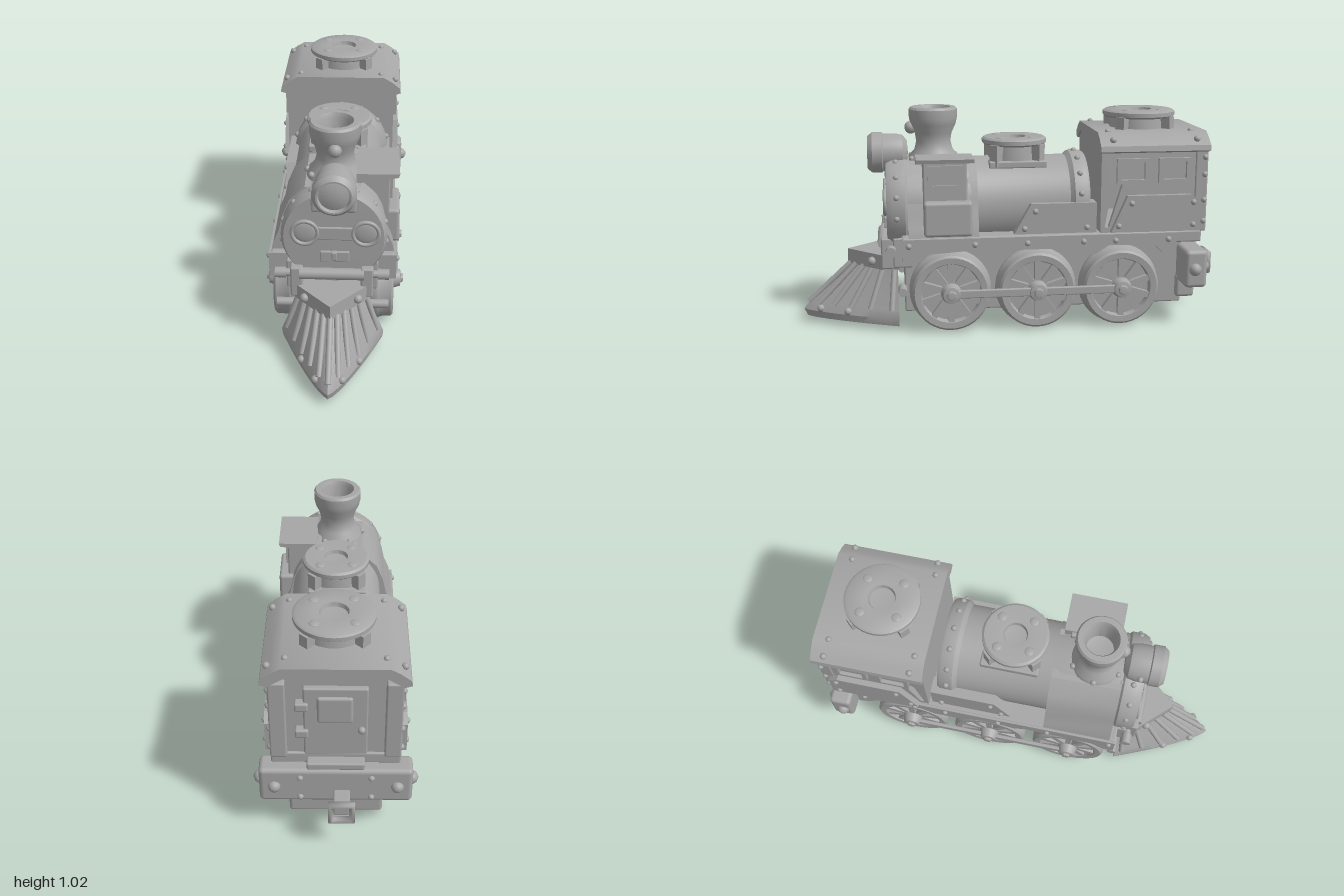
import * as THREE from 'three';
import { toCreasedNormals } from 'three/addons/utils/BufferGeometryUtils.js';
import { RoundedBoxGeometry } from 'three/addons/geometries/RoundedBoxGeometry.js';

const steel = new THREE.MeshStandardMaterial({ color: 0xa6a6a6, side: THREE.DoubleSide });
steel.name = 'steel grey';
const V2 = (p) => new THREE.Vector2(p[0], p[1]);

export function createModel() {
  const model = new THREE.Group();
  model.name = 'steamLocomotive';

  const add = (name, geo, x = 0, y = 0, z = 0, parent = model) => {
    const m = new THREE.Mesh(geo, steel);
    m.name = name;
    m.position.set(x, y, z);
    parent.add(m);
    return m;
  };
  // box given by its limits on each axis
  const box = (name, x0, x1, y0, y1, z0, z1, r = 0.008) =>
    add(name, new RoundedBoxGeometry(x1 - x0, y1 - y0, z1 - z0, 2, r), (x0 + x1) / 2, (y0 + y1) / 2, (z0 + z1) / 2);
  const lathe = (pts, seg = 40) => toCreasedNormals(new THREE.LatheGeometry(pts.map(V2), seg), 0.6);
  const rivet = (x, y, z, r = 0.014) => add('rivet', new THREE.SphereGeometry(r, 10, 8), x, y, z);
  // plate cut from a (z, y) outline, spanning x0..x1
  const sidePlate = (name, pts, x0, x1, holes = []) => {
    const s = new THREE.Shape(pts.map(V2));
    holes.forEach((h) => s.holes.push(new THREE.Path(h.map(V2))));
    const g = new THREE.ExtrudeGeometry(s, { depth: x1 - x0, bevelEnabled: false });
    return add(name, g.rotateY(-Math.PI / 2), x1, 0, 0);
  };
  // section with an (x, y) outline, spanning z0..z1
  const section = (name, pts, z0, z1) => add(name,
    toCreasedNormals(new THREE.ExtrudeGeometry(new THREE.Shape(pts.map(V2)), { depth: z1 - z0, bevelEnabled: false }), 0.6), 0, 0, z0);
  const rod = (name, a, b, r) => {
    const p = new THREE.Vector3(...a), q = new THREE.Vector3(...b), d = q.clone().sub(p);
    const m = add(name, new THREE.CylinderGeometry(r, r, d.length(), 16));
    m.position.copy(p).addScaledVector(d, 0.5);
    m.quaternion.setFromUnitVectors(new THREE.Vector3(0, 1, 0), d.normalize());
    return m;
  };
  const rect = (z0, z1, y0, y1) => [[z0, y0], [z1, y0], [z1, y1], [z0, y1]];

  // frame under the body
  box('underframe', -0.17, 0.17, 0.08, 0.42, -0.8, 0.52);
  box('deck', -0.27, 0.27, 0.4, 0.455, -0.86, 0.53);
  box('frontFrame', -0.2, 0.2, 0.3, 0.44, 0.48, 0.57);

  // boiler, with its rear band, and the flared smokebox
  const boiler = add('boiler', lathe([[0, -0.34], [0.222, -0.34], [0.23, -0.325], [0.23, -0.27], [0.212, -0.25],
    [0.211, 0.2], [0.218, 0.22], [0.218, 0.5], [0.228, 0.51], [0.228, 0.57], [0.215, 0.595], [0, 0.598]], 48), 0.008, 0.572, 0);
  boiler.rotation.x = Math.PI / 2;
  section('smokeboxSaddle', [[-0.27, 0.44], [0.27, 0.44], [0.26, 0.49], [0.235, 0.55], [0.22, 0.62], [0.187, 0.7], [0.12, 0.765],
    [-0.12, 0.765], [-0.187, 0.7], [-0.22, 0.62], [-0.235, 0.55], [-0.26, 0.49]], 0.18, 0.5);
  for (let i = 0; i < 9; i++) {
    const a = Math.PI * (i / 8 * 1.1 - 0.05), c = Math.cos(a), s = Math.sin(a);
    rivet(0.008 + 0.23 * c, 0.572 + 0.23 * s, -0.297);
    rivet(0.008 + 0.224 * c, 0.572 + 0.224 * s, 0.55);
  }

  // smokebox front: two round gauges, a joining band and a small latch
  for (const x of [-0.115, 0.145]) {
    add('gaugeRing', new THREE.TorusGeometry(0.055, 0.009, 10, 32), x, 0.6, 0.602);
    add('gaugeGlass', new THREE.SphereGeometry(0.05, 24, 12).scale(1, 1, 0.2), x, 0.6, 0.596);
  }
  box('gaugeBand', -0.06, 0.09, 0.567, 0.628, 0.585, 0.606, 0.005);
  box('latchPlate', -0.05, 0.075, 0.46, 0.51, 0.585, 0.608, 0.004);
  box('latch', 0, 0.022, 0.475, 0.512, 0.59, 0.62, 0.004);

  // headlight
  box('headlightBracket', -0.095, 0.112, 0.69, 0.775, 0.48, 0.6, 0.02);
  const lamp = add('headlight', lathe([[0, 0], [0.055, 0.004], [0.08, 0.025], [0.087, 0.06], [0.087, 0.115], [0.094, 0.12],
    [0.094, 0.165], [0.086, 0.175], [0.076, 0.187], [0.069, 0.187], [0.064, 0.17], [0.04, 0.178], [0, 0.182]]), 0.012, 0.81, 0.49);
  lamp.rotation.x = Math.PI / 2;
  rivet(0.008, 0.925, 0.475, 0.03);
  for (const y of [0.76, 0.86]) rivet(-0.085, y, 0.57);

  // chimney with an open mouth
  add('chimney', lathe([[0.125, 0.76], [0.118, 0.79], [0.09, 0.82], [0.08, 0.86], [0.086, 0.9], [0.105, 0.94], [0.112, 0.97],
    [0.112, 1.01], [0.104, 1.02], [0.08, 1.02], [0.07, 1.0], [0.062, 0.9], [0, 0.89]]), 0.005, 0, 0.37);
  for (let i = 0; i < 6; i++) rivet(0.005 + 0.12 * Math.cos(i * Math.PI / 3), 0.785, 0.37 + 0.12 * Math.sin(i * Math.PI / 3));

  // round hatches on the boiler and the cab roof
  const hatch = (name, y, z, r, neck, drop) => {
    const g = new THREE.Group();
    g.name = name;
    g.position.set(0.008, y, z);
    model.add(g);
    add('hatchDisc', lathe([[neck, -drop], [neck * 0.95, -0.04], [r * 0.95, -0.035], [r, -0.028], [r, -0.01], [r * 0.93, -0.002],
      [r * 0.5, 0], [r * 0.36, -0.002], [r * 0.33, -0.02], [0, -0.025]]), 0, 0, 0, g);
    for (let i = 0; i < 4; i++) {
      const a = i * Math.PI / 2 + 0.75, c = Math.cos(a), s = Math.sin(a);
      add('hatchBolt', new THREE.SphereGeometry(0.022, 12, 8).scale(1, 0.3, 1), c * r * 0.68, -0.002, s * r * 0.68, g);
      add('hatchBrace', new THREE.BoxGeometry(0.05, drop - 0.02, 0.045), c * r * 0.9, -0.03 - (drop - 0.02) / 2, s * r * 0.9, g).rotation.y = -a;
    }
  };
  box('hatchBase', -0.13, 0.135, 0.74, 0.775, -0.15, 0.12);
  hatch('boilerHatch', 0.878, -0.01, 0.152, 0.125, 0.12);
  hatch('roofHatch', 1.0, -0.61, 0.17, 0.14, 0.1);

  // cabinet with a window and awning, on the left side only
  box('cabinetLower', 0.12, 0.29, 0.46, 0.62, 0.21, 0.43, 0.015);
  box('cabinetUpper', 0.08, 0.245, 0.6, 0.8, 0.23, 0.43);
  sidePlate('cabinetWindowFrame', rect(0.25, 0.41, 0.67, 0.78), 0.24, 0.256, [rect(0.27, 0.39, 0.69, 0.765)]);
  section('awning', [[0.1, 0.765], [0.28, 0.795], [0.285, 0.812], [0.1, 0.81]], 0.2, 0.46);

  // cab walls, open just behind the front wall
  for (const s of [-1, 1]) {
    const span = (a, b) => (s > 0 ? [a, b] : [-b, -a]);
    sidePlate('cabSide', [[-0.38, 0.45], [-0.38, 0.85], [-0.86, 0.85], [-0.86, 0.45]], ...span(0.24, 0.265),
      [[[-0.4, 0.48], [-0.43, 0.66], [-0.44, 0.68], [-0.48, 0.68], [-0.42, 0.48]]]);
    sidePlate('cabLowerPanel', [[-0.425, 0.46], [-0.5, 0.63], [-0.8, 0.63], [-0.845, 0.6], [-0.845, 0.46]], ...span(0.26, 0.292));
    for (const z of [-0.525, -0.72]) {
      sidePlate('cabWindowFrame', rect(z - 0.075, z + 0.075, 0.685, 0.8), ...span(0.26, 0.282), [rect(z - 0.055, z + 0.055, 0.702, 0.782)]);
    }
    for (const [z, y] of [[-0.46, 0.49], [-0.52, 0.595], [-0.81, 0.595], [-0.81, 0.49]]) rivet(s * 0.29, y, z);
    for (const z of [-0.43, -0.82]) rivet(s * 0.272, 0.886, z, 0.015);
    for (const z of [-0.42, -0.81]) rivet(s * 0.2, 0.915, z);
    // panel along the boiler
    sidePlate('boilerPanel', [[0.02, 0.45], [-0.06, 0.595], [-0.365, 0.595], [-0.365, 0.45]], ...span(0.17, 0.25));
    rivet(s * 0.25, 0.56, -0.08); rivet(s * 0.25, 0.48, -0.03); rivet(s * 0.25, 0.48, -0.32);
    // running board skirt
    sidePlate('runningBoard', [[0.53, 0.33], [0.53, 0.45], [-0.74, 0.45], [-0.74, 0.33], [-0.68, 0.35], [-0.64, 0.39], [-0.42, 0.4],
      [-0.36, 0.36], [-0.2, 0.36], [-0.15, 0.39], [-0.02, 0.39], [0.04, 0.375], [0.1, 0.4], [0.42, 0.38], [0.48, 0.33]], ...span(0.2, 0.28));
    for (const z of [0.5, 0.2, -0.04, -0.3, -0.45, -0.7]) rivet(s * 0.28, 0.42, z);
    // rear posts
    box('cabRearPost', ...span(0.2, 0.27), 0.45, 0.84, -0.88, -0.82);
    for (const y of [0.5, 0.6, 0.72, 0.8]) rivet(s * 0.268, y, -0.865);
  }
  box('cabFrontWall', -0.255, 0.255, 0.45, 0.88, -0.4, -0.38, 0.004);
  box('cabRearWall', -0.25, 0.25, 0.45, 0.88, -0.85, -0.83, 0.004);
  section('roof', [[-0.3, 0.835], [-0.27, 0.825], [-0.2, 0.87], [0.2, 0.87], [0.27, 0.825], [0.3, 0.835],
    [0.295, 0.86], [0.255, 0.892], [0.215, 0.915], [-0.215, 0.915], [-0.255, 0.892], [-0.295, 0.86]], -0.88, -0.37);

  // rear door
  box('door', -0.13, 0.13, 0.46, 0.81, -0.872, -0.84);
  box('doorWindow', -0.07, 0.075, 0.64, 0.77, -0.884, -0.855, 0.012);
  for (const y of [0.56, 0.7]) box('doorHinge', 0.11, 0.165, y, y + 0.04, -0.886, -0.84);
  rivet(-0.105, 0.6, -0.878, 0.016);
  box('doorStep', -0.12, 0.12, 0.4, 0.435, -0.905, -0.84);

  // rear beam and coupler
  box('rearBeam', -0.325, 0.325, 0.19, 0.37, -0.88, -0.775, 0.02);
  box('rearLowerBeam', -0.2, 0.2, 0.11, 0.22, -0.86, -0.77, 0.015);
  for (const s of [-1, 1]) {
    rivet(s * 0.322, 0.28, -0.82, 0.03);
    rivet(s * 0.26, 0.28, -0.878, 0.028); rivet(s * 0.15, 0.33, -0.88); rivet(s * 0.15, 0.22, -0.88);
  }
  box('couplerStem', -0.06, 0.01, 0.2, 0.26, -0.97, -0.86);
  const link = add('couplerLink', new THREE.TorusGeometry(0.062, 0.018, 10, 4), -0.025, 0.23, -0.98);
  link.rotation.z = Math.PI / 4;

  // spoked wheels and coupling rods
  const axles = [0.31, -0.09, -0.485];
  for (const s of [-1, 1]) {
    for (const z of axles) {
      const w = new THREE.Group();
      w.name = 'wheel';
      w.position.set(0, 0.19, z);
      w.rotation.z = -s * Math.PI / 2;
      model.add(w);
      add('wheelRim', lathe([[0, 0.17], [0.186, 0.17], [0.19, 0.18], [0.19, 0.2], [0.18, 0.215], [0.178, 0.262], [0.168, 0.272],
        [0.14, 0.27], [0.134, 0.255], [0.134, 0.24], [0, 0.24]]), 0, 0, 0, w);
      add('wheelHub', lathe([[0.052, 0.235], [0.046, 0.28], [0.038, 0.305], [0.022, 0.308], [0.018, 0.318], [0, 0.32]], 20), 0, 0, 0, w);
      for (let i = 0; i < 10; i++) {
        const a = i * Math.PI / 5;
        add('spoke', new THREE.BoxGeometry(0.11, 0.03, 0.028), 0.092 * Math.cos(a), 0.25, 0.092 * Math.sin(a), w).rotation.y = -a;
      }
    }
    for (let i = 0; i < 2; i++) box('couplingRod', s * 0.288 - 0.009, s * 0.288 + 0.009, 0.172, 0.21, axles[i + 1], axles[i], 0.005);
  }

  // cowcatcher: pointed hull rising to a smaller pointed top, with ribs
  const hull = (s, w, d) => [s * w, 0.55 + d * (1 - Math.abs(s) ** 1.3)];
  const levels = [[0.027, 0.225, 0.435], [0.06, 0.23, 0.45], [0.1, 0.215, 0.42], [0.19, 0.175, 0.31], [0.285, 0.145, 0.21]];
  const N = 24, pos = [], idx = [];
  levels.forEach(([y, w, d]) => {
    for (let i = 0; i <= N; i++) {
      const [x, z] = hull(i / N * 2 - 1, w, d);
      pos.push(x, y, z);
    }
  });
  for (let j = 0; j < levels.length - 1; j++) {
    const row = j * (N + 1);
    for (let i = 0; i < N; i++) {
      const a = row + i, b = a + N + 1;
      idx.push(a, a + 1, b + 1, a, b + 1, b);
    }
    const b = row + N + 1;
    idx.push(row, b, b + N, row, b + N, row + N);
  }
  for (let i = 1; i < N; i++) idx.push(0, i + 1, i);
  const hullGeo = new THREE.BufferGeometry();
  hullGeo.setAttribute('position', new THREE.Float32BufferAttribute(pos, 3));
  hullGeo.setIndex(idx);
  add('cowcatcherHull', toCreasedNormals(hullGeo, 0.5));
  for (let i = 0; i < 11; i++) {
    const s = (i / 10 * 2 - 1) * 0.94, [x0, z0] = hull(s, 0.217, 0.425), [x1, z1] = hull(s, 0.15, 0.22);
    rod('cowcatcherRib', [x0, 0.095, z0], [x1, 0.285, z1], 0.013);
  }
  for (const s of [-0.55, -0.25, 0.25, 0.55]) {
    const [x, z] = hull(s, 0.225, 0.44);
    rivet(x, 0.075, z, 0.018);
  }
  // pointed shelf above the ribs
  const shelf = new THREE.Shape([[-0.165, -0.54], [0.165, -0.54], [0.155, -0.62], [0, -0.785], [-0.155, -0.62]].map(V2));
  const shelfGeo = new THREE.ExtrudeGeometry(shelf, { depth: 0.07, bevelEnabled: false });
  add('cowcatcherShelf', shelfGeo.rotateX(-Math.PI / 2), 0, 0.28, 0);
  for (const s of [-1, 1]) {
    rivet(s * 0.115, 0.315, 0.67, 0.02);
    box('bumperBracket', s * 0.152 - 0.027, s * 0.152 + 0.027, 0.29, 0.435, 0.54, 0.625);
    rod('bufferPin', [s * 0.15, 0.385, 0.58], [s * 0.235, 0.385, 0.58], 0.017);
    rod('bufferCap', [s * 0.2, 0.385, 0.58], [s * 0.248, 0.385, 0.58], 0.024);
    rod('stepPin', [s * 0.16, 0.195, 0.53], [s * 0.25, 0.195, 0.53], 0.02);
  }
  rod('bumperBar', [-0.14, 0.405, 0.615], [0.14, 0.405, 0.615], 0.026);

  return model;
}
